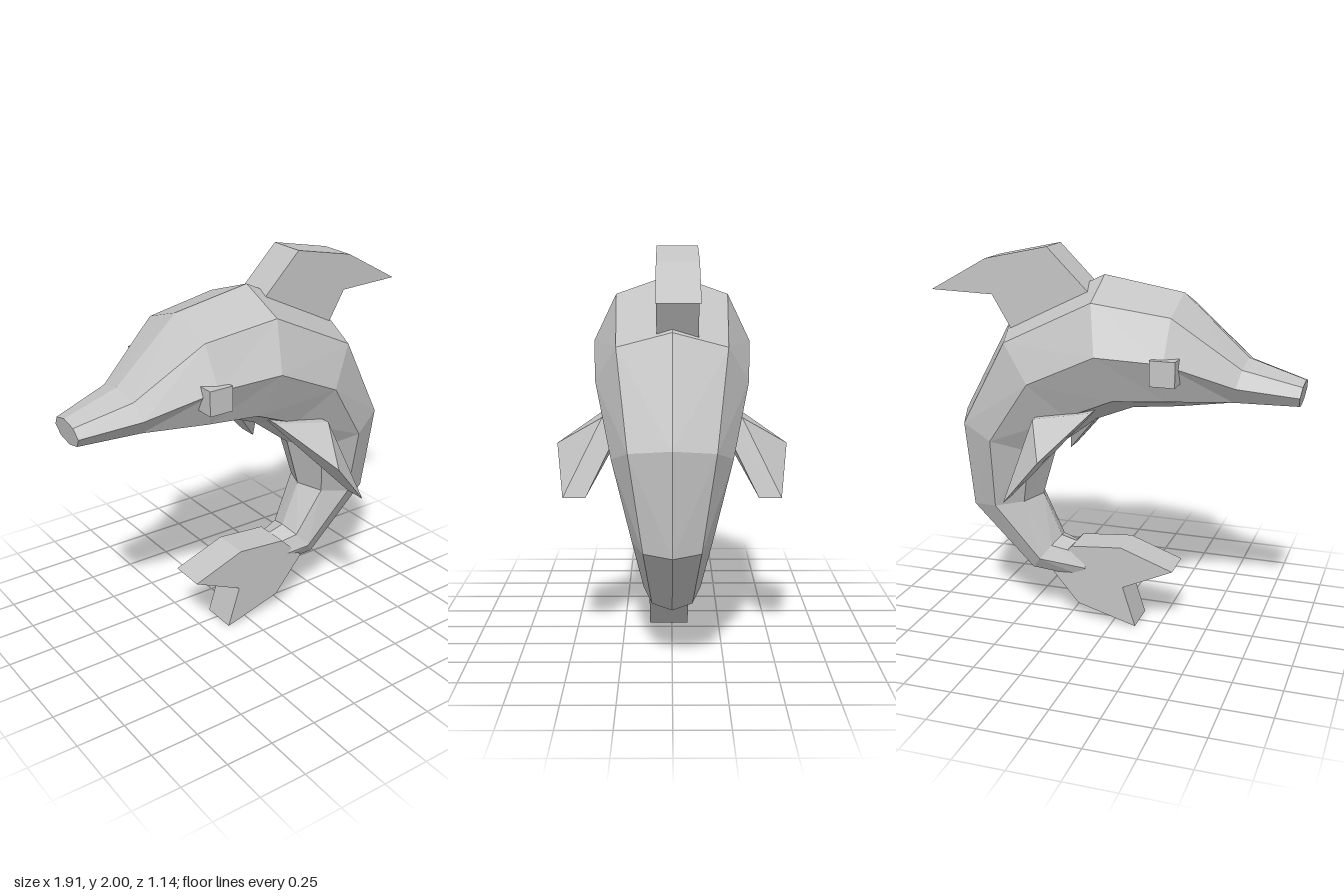
import * as THREE from 'three';
import { ConvexGeometry } from 'three/addons/geometries/ConvexGeometry.js';

const grey = new THREE.MeshStandardMaterial({ color: 0xc4c4c4, flatShading: true });
grey.name = 'grey skin';

// Body sections from snout to tail: back x, y, belly x, y, half width
const SECTIONS = [
  [-0.96, 1.40, -0.94, 1.265, 0.115],
  [-0.68, 1.49, -0.63, 1.26, 0.195],
  [-0.35, 1.79, -0.33, 1.215, 0.345],
  [0.06, 1.86, -0.09, 1.19, 0.395],
  [0.57, 1.61, 0.11, 1.11, 0.37],
  [0.84, 1.11, 0.33, 0.94, 0.285],
  [0.81, 0.61, 0.41, 0.67, 0.19],
  [0.46, 0.25, 0.31, 0.44, 0.14],
  [0.17, 0.21, 0.13, 0.39, 0.085],
];
const SIDES = 8;

function add(group, name, geometry) {
  const mesh = new THREE.Mesh(geometry, grey);
  mesh.name = name;
  group.add(mesh);
  return mesh;
}

// Loft of eight-sided oval rings, closed at both ends
function bodyGeometry() {
  const positions = [];
  const index = [];
  for (const [tx, ty, bx, by, w] of SECTIONS) {
    for (let j = 0; j < SIDES; j++) {
      const a = (j / SIDES) * Math.PI * 2;
      const k = Math.cos(a) / 2;
      positions.push((tx + bx) / 2 + (tx - bx) * k, (ty + by) / 2 + (ty - by) * k, w * Math.sin(a));
    }
  }
  const last = (SECTIONS.length - 1) * SIDES;
  for (let i = 0; i < last; i += SIDES) {
    for (let j = 0; j < SIDES; j++) {
      const a = i + j;
      const b = i + ((j + 1) % SIDES);
      // Mirror the diagonals so both flanks match
      if (j < SIDES / 2) index.push(a, b, a + SIDES, b, b + SIDES, a + SIDES);
      else index.push(a, b, b + SIDES, a, b + SIDES, a + SIDES);
    }
  }
  for (let j = 1; j < SIDES - 1; j++) {
    index.push(0, j + 1, j);
    index.push(last, last + j, last + j + 1);
  }
  const geometry = new THREE.BufferGeometry();
  geometry.setAttribute('position', new THREE.Float32BufferAttribute(positions, 3));
  geometry.setIndex(index);
  const flat = geometry.toNonIndexed();
  flat.computeVertexNormals();
  return flat;
}

// Flat fin outline extruded from z0 to z1
function finGeometry(outline, z0, z1) {
  const shape = new THREE.Shape(outline.map(([x, y]) => new THREE.Vector2(x, y)));
  return new THREE.ExtrudeGeometry(shape, { depth: z1 - z0, bevelEnabled: false }).translate(0, 0, z0);
}

// Twisted slab from the flank to the flipper tip
function flipperGeometry(side) {
  const corners = [[0.04, 1.22, 0.28], [0.325, 1.18, 0.34], [0.41, 0.8, 0.53], [0.21, 1.035, 0.57]];
  const points = [];
  for (const [x, y, z] of corners) {
    points.push(new THREE.Vector3(x, y, z * side), new THREE.Vector3(x, y, (z - 0.11) * side));
  }
  return new ConvexGeometry(points);
}

export function createModel() {
  const model = new THREE.Group();
  model.name = 'dolphin';

  add(model, 'body', bodyGeometry());

  add(model, 'dorsalFin', finGeometry(
    [[0.32, 2.0], [0.07, 1.75], [0.49, 1.53], [0.62, 1.75], [0.955, 1.76], [0.65, 1.93]], -0.122, 0.073));

  add(model, 'tailFluke', finGeometry(
    [[-0.33, 0.34], [-0.06, 0.215], [-0.13, 0], [0.19, 0.09], [0.355, 0.285], [0.225, 0.415], [-0.05, 0.44]],
    -0.08, 0.112));

  // Flippers and block eyes on both sides
  for (const [label, side] of [['front', 1], ['back', -1]]) {
    add(model, label + 'Flipper', flipperGeometry(side));
    add(model, label + 'Eye', new THREE.BoxGeometry(0.125, 0.125, 0.125))
      .position.set(-0.343, 1.463, 0.308 * side);
  }
  return model;
}
